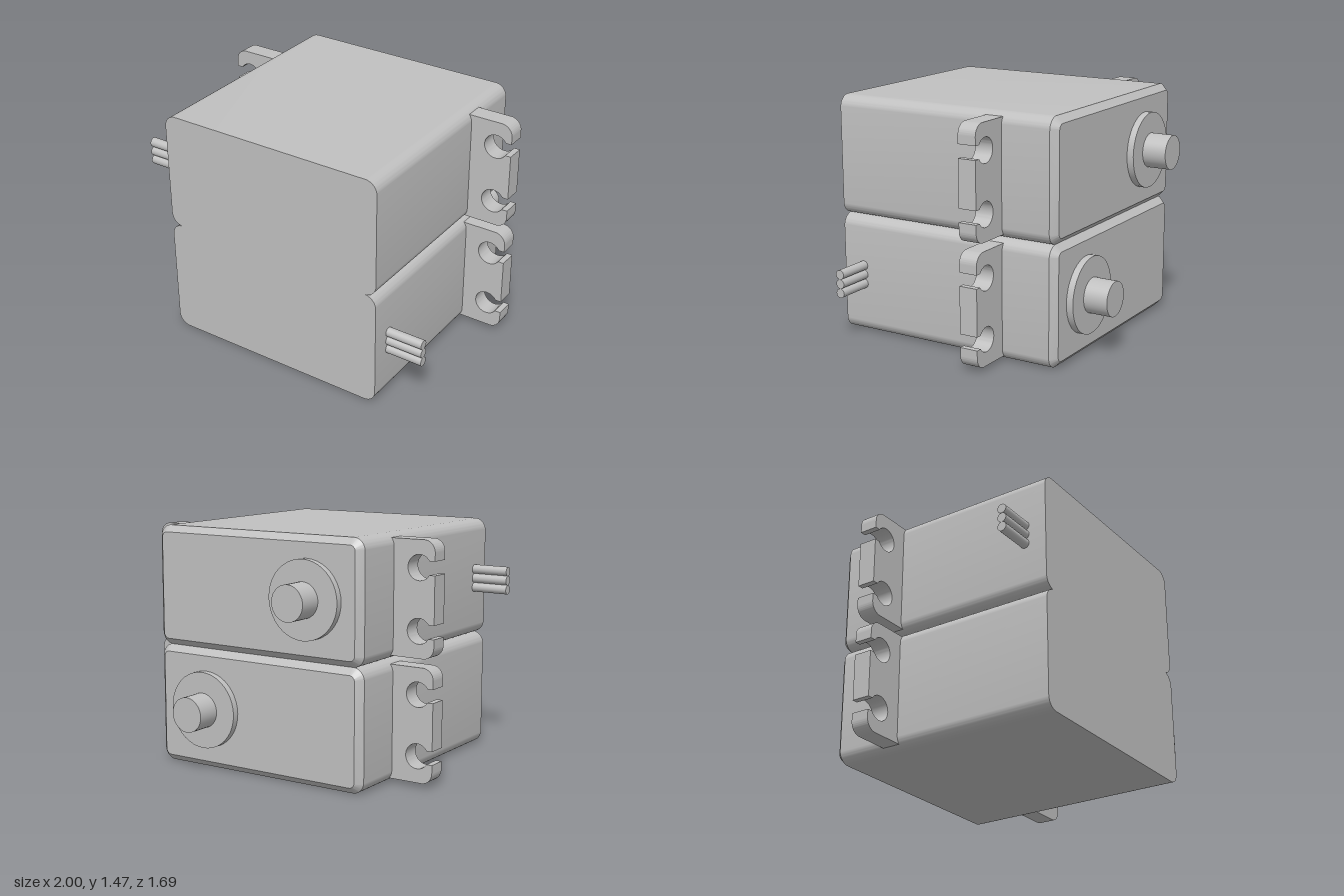
import * as THREE from 'three';
import { toCreasedNormals } from 'three/addons/utils/BufferGeometryUtils.js';

const HX = 0.733, HY = 0.3675, R = 0.075, CHAMFER = 0.04;
const FRONT = 0.843, BACK = -0.65;

// Rounded box body, chamfered round its back edge
function bodyGeometry() {
  const s = new THREE.Shape();
  s.absarc(HX - R, HY - R, R, 0, Math.PI / 2);
  s.absarc(R - HX, HY - R, R, Math.PI / 2, Math.PI);
  s.absarc(R - HX, R - HY, R, Math.PI, Math.PI * 1.5);
  s.absarc(HX - R, R - HY, R, Math.PI * 1.5, Math.PI * 2);
  const g = new THREE.ExtrudeGeometry(s, { depth: 2, steps: 2, bevelEnabled: false, curveSegments: 8 });
  const p = g.attributes.position;
  const levels = [BACK, BACK + CHAMFER, FRONT];
  const k = (R - CHAMFER) / R;
  for (let i = 0; i < p.count; i++) {
    const level = Math.round(p.getZ(i));
    if (level === 0) {
      const x = p.getX(i), y = p.getY(i);
      const cx = THREE.MathUtils.clamp(x, R - HX, HX - R);
      const cy = THREE.MathUtils.clamp(y, R - HY, HY - R);
      p.setXY(i, cx + (x - cx) * k, cy + (y - cy) * k);
    }
    p.setZ(i, levels[level]);
  }
  return toCreasedNormals(g, 0.5);
}

// Mounting ear with two open screw slots
function earGeometry() {
  const h = 0.342, r = 0.07, inner = 0.69, hx = 0.9, hr = 0.075, slot = 0.04;
  const a = Math.asin(slot / hr);
  const s = new THREE.Shape();
  s.moveTo(inner, -h);
  s.lineTo(1 - r, -h);
  s.absarc(1 - r, r - h, r, -Math.PI / 2, 0);
  for (const y of [-0.1825, 0.1825]) {
    s.lineTo(1, y - slot);
    s.absarc(hx, y, hr, -a, a, true);
    s.lineTo(1, y + slot);
  }
  s.absarc(1 - r, h - r, r, 0, Math.PI / 2);
  s.lineTo(inner, h);
  s.closePath();
  const g = new THREE.ExtrudeGeometry(s, { depth: 0.115, bevelEnabled: false, curveSegments: 20 });
  g.translate(0, 0, -0.0575);
  return toCreasedNormals(g, 0.5);
}

export function createModel() {
  const model = new THREE.Group();
  model.name = 'servoPair';
  const grey = new THREE.MeshStandardMaterial({ color: 0xc0c0c0 });
  grey.name = 'grey';
  const body = bodyGeometry(), ear = earGeometry();

  const add = (parent, name, geometry, x, y, z) => {
    const m = new THREE.Mesh(geometry, grey);
    m.name = name;
    m.position.set(x, y, z);
    parent.add(m);
    return m;
  };
  // Cylinder along z, from z0 to z1
  const rod = (r, z0, z1) => new THREE.CylinderGeometry(r, r, z1 - z0, 40)
    .rotateX(Math.PI / 2).translate(0, 0, (z0 + z1) / 2);
  const collar = rod(0.235, -0.692, -0.64);
  const shaft = rod(0.107, -0.843, -0.68);
  const wire = new THREE.CylinderGeometry(0.029, 0.029, 0.258, 20).rotateZ(Math.PI / 2);

  function makeServo(name) {
    const servo = new THREE.Group();
    servo.name = name;
    add(servo, 'body', body, 0, 0, 0);
    add(servo, 'leftEar', ear, 0, 0, -0.241);
    add(servo, 'rightEar', ear, 0, 0, -0.241).rotation.y = Math.PI;
    add(servo, 'outputCollar', collar, -0.367, 0, 0);
    add(servo, 'outputShaft', shaft, -0.367, 0, 0);
    for (const i of [-1, 0, 1]) add(servo, 'wire', wire, -0.839, i * 0.058, 0.702);
    model.add(servo);
    return servo;
  }

  // The lower servo is the upper one turned upside down
  makeServo('upperServo').position.y = HY * 3;
  const lower = makeServo('lowerServo');
  lower.position.y = HY;
  lower.rotation.z = Math.PI;
  return model;
}
